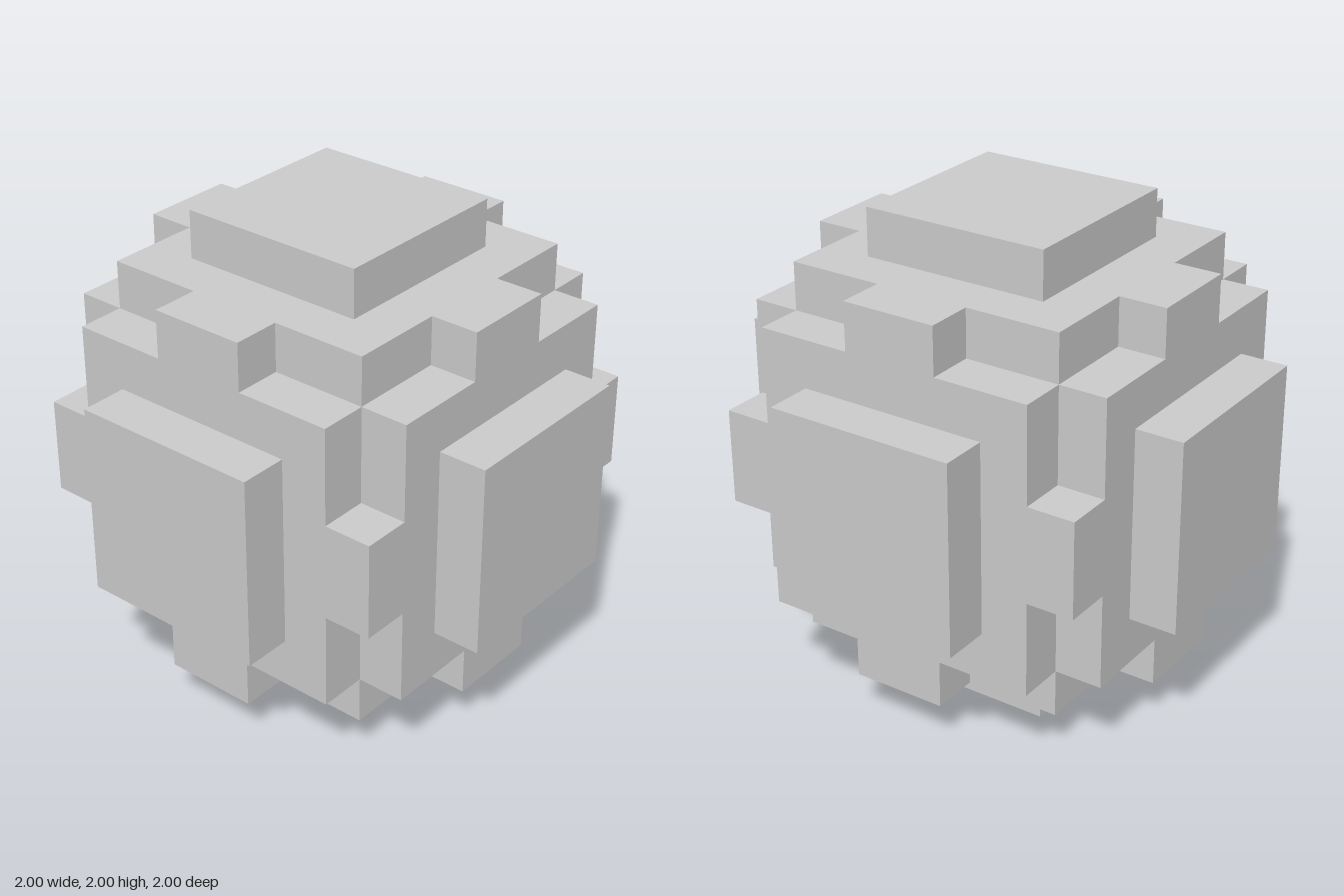
import * as THREE from 'three';

const material = new THREE.MeshStandardMaterial({ color: 0xcccccc, flatShading: true });
const AXES = ['x', 'y', 'z'];

export function createModel() {
  const model = new THREE.Group();
  model.name = 'blockySphere';

  function addBox(name, size, position) {
    const mesh = new THREE.Mesh(new THREE.BoxGeometry(size.x, size.y, size.z), material);
    mesh.name = name;
    mesh.position.copy(position);
    mesh.position.y += 1;
    model.add(mesh);
  }

  // Solid centre
  addBox('core', new THREE.Vector3(1.2, 1.2, 1.2), new THREE.Vector3());

  AXES.forEach((axis, i) => {
    const u = AXES[(i + 1) % 3];
    const v = AXES[(i + 2) % 3];

    // Each side steps outward: a wide slab, then a smaller raised plate
    for (const s of [-1, 1]) {
      const slabSize = new THREE.Vector3(1.2, 1.2, 1.2);
      slabSize[axis] = 0.2;
      const slabPos = new THREE.Vector3();
      slabPos[axis] = 0.7 * s;
      addBox('sideSlab', slabSize, slabPos);

      const plateSize = new THREE.Vector3(0.8, 0.8, 0.8);
      plateSize[axis] = 0.2;
      const platePos = new THREE.Vector3();
      platePos[axis] = 0.9 * s;
      addBox('outerPlate', plateSize, platePos);
    }

    // Short blocks filling the middle of the four edges along this axis
    for (const a of [-1, 1]) {
      for (const b of [-1, 1]) {
        const size = new THREE.Vector3(0.2, 0.2, 0.2);
        size[axis] = 0.4;
        const pos = new THREE.Vector3();
        pos[u] = 0.7 * a;
        pos[v] = 0.7 * b;
        addBox('edgeBlock', size, pos);
      }
    }
  });

  return model;
}
